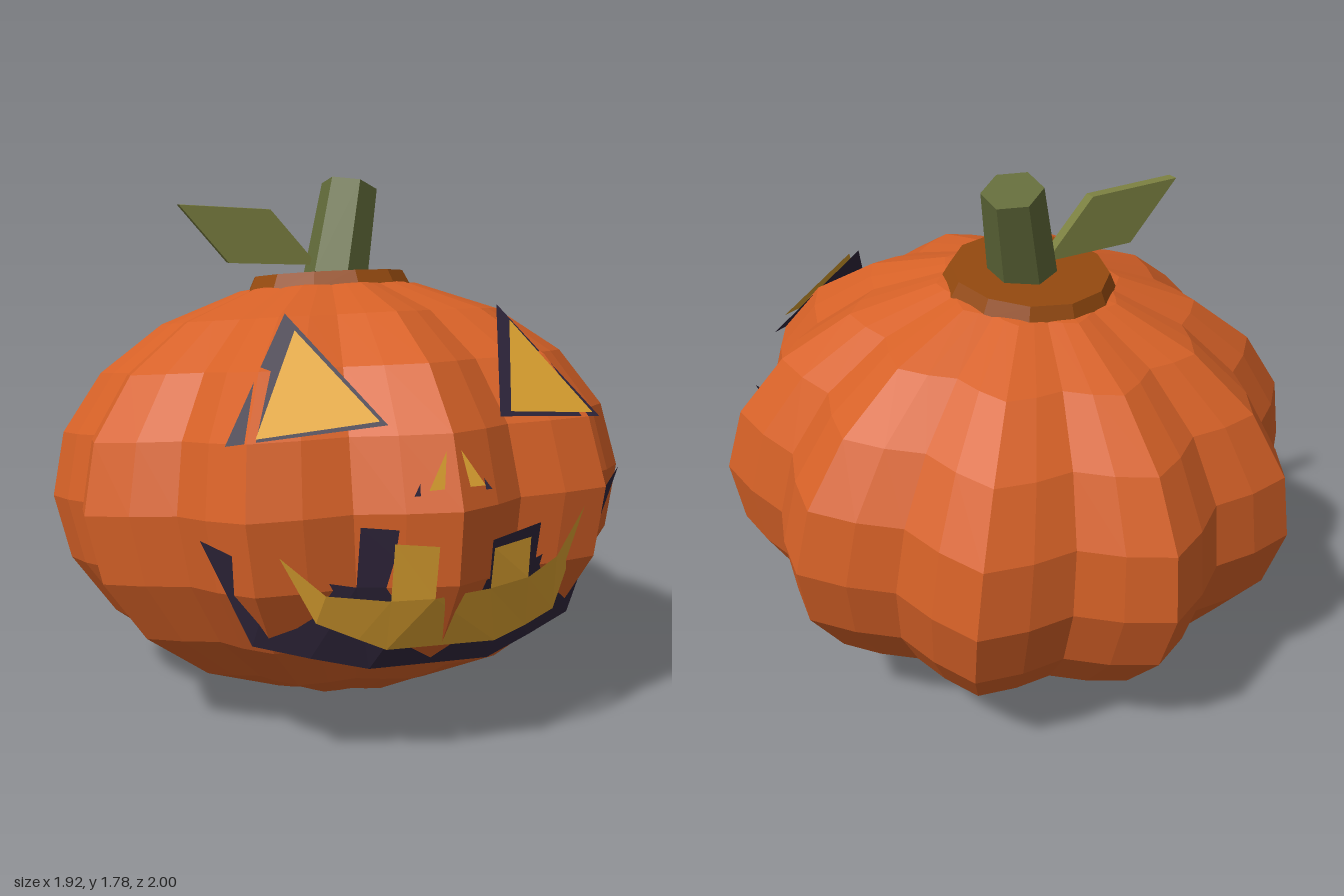
import * as THREE from 'three';

const mat = (name, color, side = THREE.FrontSide) => {
  const m = new THREE.MeshStandardMaterial({ color, side });
  m.name = name;
  return m;
};

// Faceted normals baked into the geometry
const flat = (geo) => {
  const g = geo.index ? geo.toNonIndexed() : geo;
  g.computeVertexNormals();
  return g;
};

const mesh = (name, geo, material) => {
  const m = new THREE.Mesh(flat(geo), material);
  m.name = name;
  return m;
};

// Flat polygon from a fan of corners
const plate = (pts) => {
  const pos = [];
  for (let i = 1; i < pts.length - 1; i++) pos.push(...pts[0], ...pts[i], ...pts[i + 1]);
  return new THREE.BufferGeometry().setAttribute('position', new THREE.Float32BufferAttribute(pos, 3));
};

// Ribbon between an upper and a lower edge
const ribbon = (top, bottom) => {
  const pos = [];
  for (let i = 0; i < top.length - 1; i++) {
    pos.push(...top[i], ...bottom[i], ...bottom[i + 1]);
    pos.push(...top[i], ...bottom[i + 1], ...top[i + 1]);
  }
  return new THREE.BufferGeometry().setAttribute('position', new THREE.Float32BufferAttribute(pos, 3));
};

const mirror = (pts) => pts.map(([x, y, z]) => [-x, y, z]).reverse();

export function createModel() {
  const group = new THREE.Group();
  group.name = 'carvedPumpkin';

  const orange = mat('pumpkinOrange', 0xd66127);
  const brown = mat('collarBrown', 0x93490f);
  const stemGreen = mat('stemGreen', 0x626b3a);
  const leafGreen = mat('leafGreen', 0x7b8041);
  const dark = mat('carvedDark', 0x30263c, THREE.DoubleSide);
  const glow = mat('glowYellow', 0xe0a431, THREE.DoubleSide);

  // Body: a squashed sphere with ten lobes, leaning back
  const tilted = new THREE.Group();
  tilted.name = 'body';
  tilted.position.y = 0.72;
  tilted.rotation.x = -0.139;
  group.add(tilted);

  const skin = new THREE.SphereGeometry(1.008, 40, 10);
  const p = skin.attributes.position;
  for (let i = 0; i < p.count; i++) {
    const x = p.getX(i), z = p.getZ(i);
    const r = 0.94 + 0.06 * Math.cos(10 * Math.atan2(x, z));
    p.setXYZ(i, x * r, p.getY(i) * 0.714, z * r);
  }
  tilted.add(mesh('skin', skin, orange));

  // Collar under the stem
  const collar = mesh('collar', new THREE.CylinderGeometry(0.265, 0.295, 0.06, 12), brown);
  collar.position.y = 0.7;
  tilted.add(collar);

  // Stem: six-sided and leaning
  const base = new THREE.Vector3(0.025, 1.42, -0.095);
  const tip = new THREE.Vector3(0.115, 1.745, -0.185);
  const axis = tip.clone().sub(base);
  const stem = mesh('stem', new THREE.CylinderGeometry(0.1, 0.115, axis.length(), 6), stemGreen);
  stem.position.copy(base).add(tip).multiplyScalar(0.5);
  stem.quaternion.setFromUnitVectors(new THREE.Vector3(0, 1, 0), axis.normalize());
  group.add(stem);

  // Leaf: a thin slanted slab
  const leafShape = new THREE.Shape(
    [[-0.52, 1.69], [-0.35, 1.49], [-0.03, 1.475], [-0.2, 1.67]].map(([x, y]) => new THREE.Vector2(x, y)));
  const leaf = mesh('leaf', new THREE.ExtrudeGeometry(leafShape, { depth: 0.042, bevelEnabled: false }), leafGreen);
  leaf.rotation.y = -0.05;
  leaf.position.z = -0.153;
  group.add(leaf);

  // Eyes: dark cut-out with a glowing plate in front
  const eyeRim = [[-0.36, 1.385, 0.485], [-0.62, 1.04, 0.71], [-0.18, 1.1, 0.865]];
  const eyeGlow = [[-0.36, 1.345, 0.575], [-0.55, 1.07, 0.78], [-0.21, 1.115, 0.875]];
  for (const [side, f] of [['right', (q) => q], ['left', mirror]]) {
    group.add(mesh(side + 'EyeRim', plate(f(eyeRim)), dark));
    group.add(mesh(side + 'EyeGlow', plate(f(eyeGlow)), glow));
  }

  // Nose
  group.add(mesh('noseRim', plate([[0, 1.08, 0.87], [-0.125, 0.9, 0.93], [0.125, 0.9, 0.93]]), dark));
  group.add(mesh('noseGlow', plate([[0, 1.06, 0.915], [-0.09, 0.92, 0.955], [0.09, 0.92, 0.955]]), glow));

  // Mouth: bent ribbons, each with two square notches on top
  const rimTop = [[-0.7, 0.77, 0.71], [-0.5, 0.66, 0.78], [-0.27, 0.62, 0.85], [-0.07, 0.62, 0.92],
    [0.13, 0.62, 0.92], [0.33, 0.64, 0.84], [0.5, 0.66, 0.77], [0.72, 0.86, 0.68]];
  const rimBottom = [[-0.7, 0.77, 0.71], [-0.55, 0.43, 0.72], [-0.38, 0.38, 0.755], [-0.2, 0.33, 0.78],
    [0.2, 0.31, 0.78], [0.36, 0.355, 0.755], [0.52, 0.4, 0.72], [0.72, 0.86, 0.68]];
  const glowTop = [[-0.51, 0.74, 0.86], [-0.38, 0.62, 0.89], [-0.19, 0.59, 0.92], [-0.06, 0.59, 0.945],
    [0.12, 0.6, 0.945], [0.26, 0.61, 0.92], [0.38, 0.65, 0.88], [0.55, 0.82, 0.8]];
  const glowBottom = [[-0.51, 0.74, 0.86], [-0.4, 0.53, 0.86], [-0.27, 0.465, 0.865], [-0.18, 0.42, 0.865],
    [0.18, 0.4, 0.865], [0.3, 0.425, 0.84], [0.42, 0.45, 0.8], [0.55, 0.82, 0.8]];
  group.add(mesh('mouthRim', ribbon(rimTop, rimBottom), dark));
  group.add(mesh('mouthGlow', ribbon(glowTop, glowBottom), glow));

  const notch = (name, a, b, ya, yb, za, zb, material) => group.add(mesh(name,
    plate([[a[0], ya, za], a, b, [b[0], yb, zb]]), material));
  notch('rightToothRim', rimTop[2], rimTop[3], 0.81, 0.79, 0.88, 0.94, dark);
  notch('leftToothRim', rimTop[4], rimTop[5], 0.745, 0.76, 0.935, 0.865, dark);
  notch('rightToothGlow', glowTop[2], glowTop[3], 0.77, 0.755, 0.945, 0.97, glow);
  notch('leftToothGlow', glowTop[4], glowTop[5], 0.73, 0.74, 0.965, 0.93, glow);

  return group;
}
